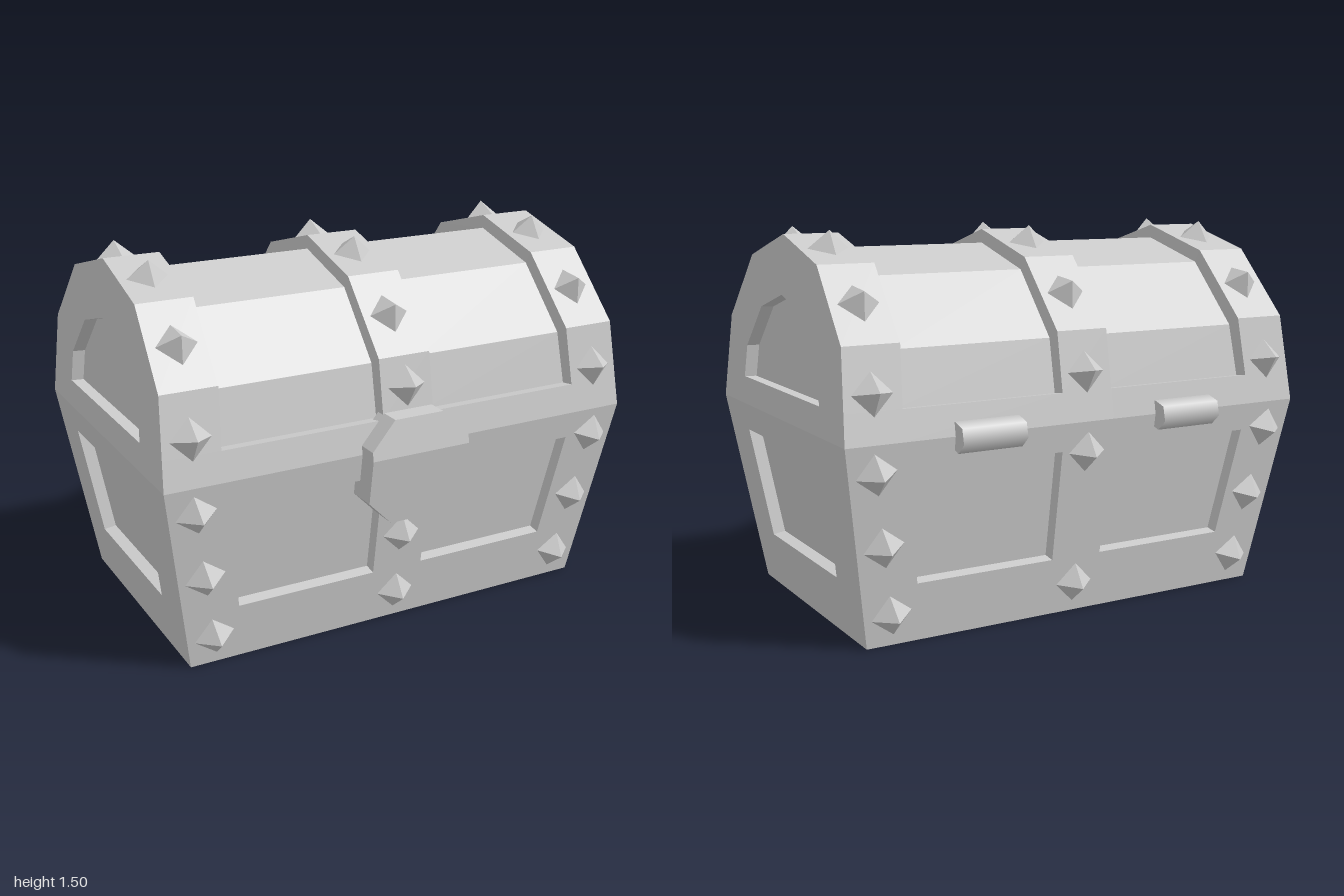
import * as THREE from 'three';

const flat = new THREE.MeshStandardMaterial({ color: 0xcccccc, flatShading: true });
const smooth = new THREE.MeshStandardMaterial({ color: 0xcccccc });
const DEPTH = 0.05;   // recess depth of the panels
const RIM = 0.78;     // height of the seam between body and lid

function meshFrom(positions, name) {
  const g = new THREE.BufferGeometry();
  g.setAttribute('position', new THREE.Float32BufferAttribute(positions, 3));
  g.computeVertexNormals();
  const m = new THREE.Mesh(g, flat);
  m.name = name;
  return m;
}

function quad(out, a, b, c, d) {
  out.push(...a, ...b, ...c, ...a, ...c, ...d);
}

const mirrored = (pts) => pts.map(([u, v]) => [-u, v]).reverse();

// A leaning wall facing +z with recessed panels; outlines run counter-clockwise.
// The wall's distance from the middle is base + slope * y.
function panelWall(name, outline, panels, base, slope) {
  const n = Math.hypot(1, slope);
  const place = (u, y, d) => [u, y + d * slope / n, base + slope * y - d / n];
  const toV2 = (pts) => pts.map(([u, v]) => new THREE.Vector2(u, v));
  const out = [];
  const fill = (shape, d) => {
    const g = new THREE.ShapeGeometry(shape).toNonIndexed();
    const p = g.attributes.position;
    for (let i = 0; i < p.count; i++) out.push(...place(p.getX(i), p.getY(i), d));
  };
  const face = new THREE.Shape(toV2(outline));
  for (const pts of panels) {
    face.holes.push(new THREE.Path(toV2(pts)));
    fill(new THREE.Shape(toV2(pts)), DEPTH);
    pts.forEach((a, i) => {
      const b = pts[(i + 1) % pts.length];
      quad(out, place(...a, 0), place(...b, 0), place(...b, DEPTH), place(...a, DEPTH));
    });
  }
  fill(face, 0);
  return meshFrom(out, name);
}

// Lid cross-section as [z, y], from the front rim over the top to the back rim
const arch = (half) => [...half, ...half.slice(0, -1).reverse().map(([z, y]) => [-z, y])];
const outer = arch([[0.64, RIM], [0.62, 0.895], [0.58, 1.123], [0.34, 1.386], [0, 1.48]]);
const inner = arch([[0.64, RIM], [0.565, 0.887], [0.525, 1.093], [0.31, 1.337], [0, 1.425]]);

// Arched lid surface: three raised ribs and a rim around two sunken fields
function lidShell() {
  const out = [];
  const last = outer.length - 1;
  const columns = (y) => {
    const e = 1 - 0.057 * (y - RIM), r = e - 0.223;
    return [-e, -r, -0.11, 0.11, r, e];
  };
  const at = (path, i, c) => [columns(outer[i][1])[c], path[i][1], path[i][0]];
  for (let c = 0; c < 5; c++) {
    for (let i = 0; i < last; i++) {
      const sunk = c % 2 === 1 && i > 0 && i < last - 1;
      const path = sunk ? inner : outer;
      quad(out, at(path, i, c), at(path, i, c + 1), at(path, i + 1, c + 1), at(path, i + 1, c));
      if (sunk) {
        quad(out, at(outer, i, c), at(inner, i, c), at(inner, i + 1, c), at(outer, i + 1, c));
        quad(out, at(inner, i, c + 1), at(outer, i, c + 1), at(outer, i + 1, c + 1), at(inner, i + 1, c + 1));
      }
    }
    if (c % 2 === 1) {
      const j = last - 1;
      quad(out, at(outer, 1, c), at(outer, 1, c + 1), at(inner, 1, c + 1), at(inner, 1, c));
      quad(out, at(inner, j, c), at(inner, j, c + 1), at(outer, j, c + 1), at(outer, j, c));
    }
  }
  return meshFrom(out, 'lidShell');
}

// Octagonal clasp plate, bent where body and lid meet
function lock() {
  const group = new THREE.Group();
  group.name = 'lock';
  const halves = [
    [[-0.21, RIM], [0.21, RIM], [0.21, 0.815], [0.105, 0.92], [-0.105, 0.92], [-0.21, 0.815]],
    [[-0.21, 0.6], [-0.105, 0.495], [0.105, 0.495], [0.21, 0.6], [0.21, RIM], [-0.21, RIM]],
  ];
  halves.forEach((pts, i) => {
    const shape = new THREE.Shape(pts.map((p) => new THREE.Vector2(...p)));
    const g = new THREE.ExtrudeGeometry(shape, { depth: 0.12, bevelEnabled: false });
    const p = g.attributes.position;
    const slope = i === 0 ? -0.175 : 0.154;
    for (let k = 0; k < p.count; k++) p.setZ(k, p.getZ(k) + 0.603 + slope * (p.getY(k) - RIM));
    g.computeVertexNormals();
    const m = new THREE.Mesh(g, flat);
    m.name = i === 0 ? 'lockUpper' : 'lockLower';
    group.add(m);
  });
  return group;
}

// Four-sided studs on the ribs of one long side
function studs(name, lidCentreY, bodyCentreYs) {
  const group = new THREE.Group();
  group.name = name;
  const geo = new THREE.ConeGeometry(0.08, 0.07, 4).translate(0, 0.035, 0);
  const add = (x, y, z, ny, nz, twist) => {
    const m = new THREE.Mesh(geo, flat);
    m.name = 'stud';
    m.position.set(x, y, z);
    m.rotation.set(Math.atan2(nz, ny), twist, 0);
    group.add(m);
  };
  const body = (x, y, twist = 0) => add(x, y, 0.52 + 0.154 * y, -0.154, 1, twist);
  const lidLow = (x, y) => add(x, y, 0.64 - 0.175 * (y - RIM), 0.175, 1, 0);
  for (const s of [-1, 1]) {
    [[0.787, 0.12], [0.832, 0.39], [0.875, 0.67]].forEach(([x, y]) => body(s * x, y, -s * 0.15));
    lidLow(s * 0.88, 0.955);
  }
  for (const x of [-0.86, 0, 0.86]) {
    add(x, 1.255, 0.46, 0.24, 0.263, 0);
    add(x * 0.99, 1.433, 0.17, 0.34, 0.094, 0);
  }
  lidLow(0, lidCentreY);
  bodyCentreYs.forEach((y) => body(0, y));
  return group;
}

export function createModel() {
  const model = new THREE.Group();
  model.name = 'treasureChest';
  const chest = new THREE.Group();
  chest.name = 'chest';
  chest.position.z = -0.012;
  model.add(chest);

  // Body sides
  const longPanel = [[0.11, 0.23], [0.69, 0.23], [0.755, 0.67], [0.11, 0.67]];
  const longSide = [[-0.88, 0], [0.88, 0], [1, RIM], [-1, RIM]];
  const endSide = [[-0.52, 0], [0.52, 0], [0.64, RIM], [-0.64, RIM]];
  const endPanel = [[-0.335, 0.228], [0.335, 0.228], [0.402, 0.667], [-0.402, 0.667]];
  const lidEndPanel = [[-0.4, 0.89], [0.4, 0.89], [0.377, 1.02], [0.22, 1.19],
    [0, 1.253], [-0.22, 1.19], [-0.377, 1.02]];
  ['Front', 'Back'].forEach((side, i) => {
    const wall = panelWall('body' + side, longSide, [longPanel, mirrored(longPanel)], 0.52, 0.12 / RIM);
    wall.rotation.y = i * Math.PI;
    chest.add(wall);
  });

  // Body and lid ends
  ['Left', 'Right'].forEach((side, i) => {
    const end = new THREE.Group();
    end.name = 'end' + side;
    end.rotation.y = (i ? -1 : 1) * Math.PI / 2;
    end.add(panelWall('bodyEnd', endSide, [endPanel], 0.88, 0.12 / RIM));
    end.add(panelWall('lidEnd', outer, [lidEndPanel], 1 + 0.057 * RIM, -0.057));
    chest.add(end);
  });

  // Underside
  const rect = (a, b) => [[-a, -b], [a, -b], [a, b], [-a, b]];
  const bottom = panelWall('bottom', rect(0.88, 0.52), [rect(0.61, 0.33)], 0, 0);
  bottom.rotation.x = Math.PI / 2;
  chest.add(bottom);

  chest.add(lidShell(), lock());

  // Studs front and back
  const backStuds = studs('backStuds', 0.967, [0.12, 0.66]);
  backStuds.rotation.y = Math.PI;
  chest.add(studs('frontStuds', 1.01, [0.12, 0.39]), backStuds);

  // Hinges on the back seam
  for (const s of [-1, 1]) {
    const geo = new THREE.CylinderGeometry(0.058, 0.058, 0.265, 6).rotateY(0.3).rotateZ(Math.PI / 2);
    const hinge = new THREE.Mesh(geo, smooth);
    hinge.name = s > 0 ? 'hingeLeft' : 'hingeRight';
    hinge.position.set(s * 0.44, 0.777, -0.647);
    chest.add(hinge);
  }
  return model;
}
